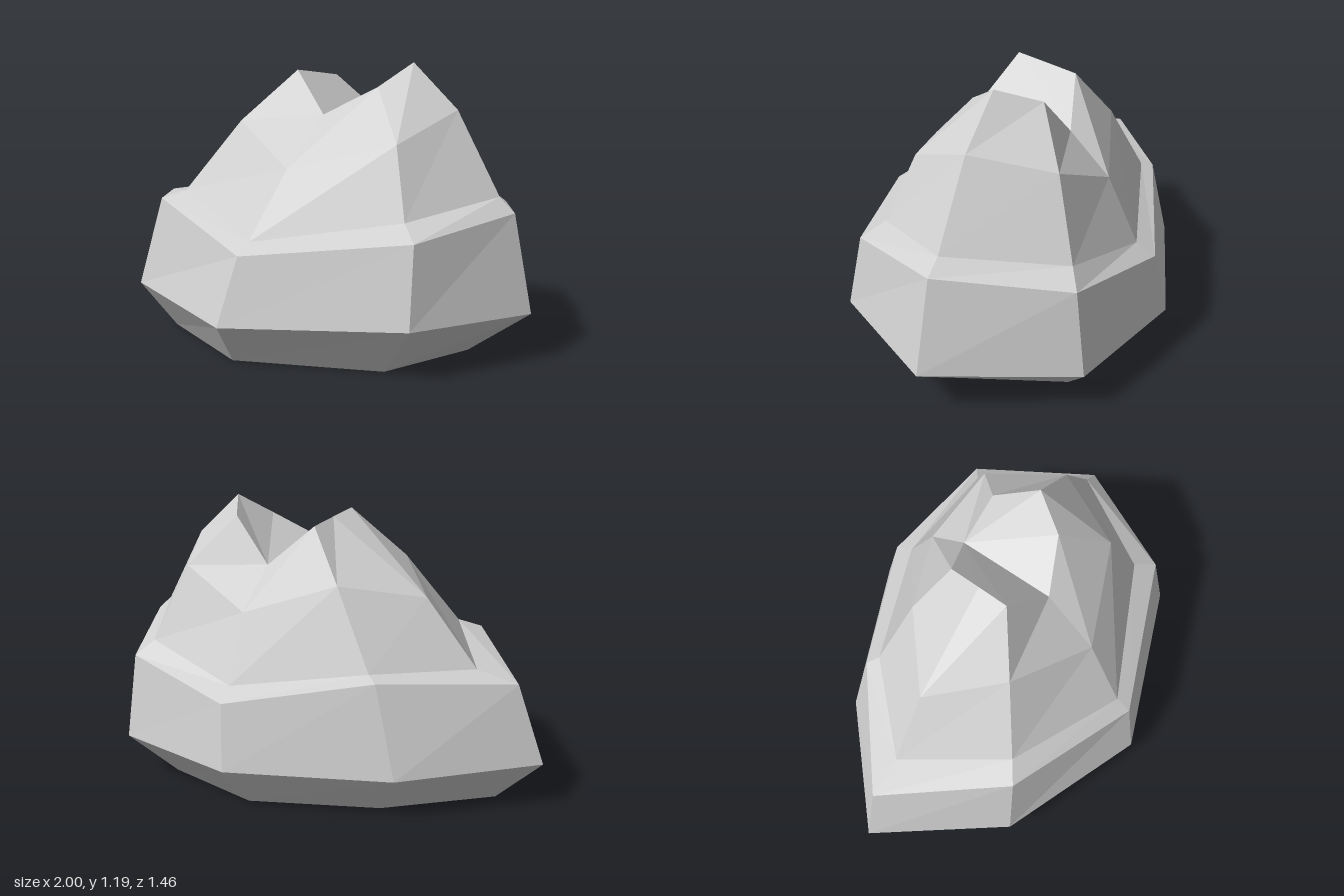
import * as THREE from 'three';

// Eight-sided cross-sections from the ground up, each point [x, y, z],
// running from the -x tip round the front to the back.
const rings = [
  // ground outline
  [[-0.8, 0, 0], [-0.5, 0, 0.38], [0.02, 0, 0.6], [0.59, 0, 0.35],
    [0.73, 0, -0.08], [0.51, 0, -0.5], [0.06, 0, -0.58], [-0.44, 0, -0.35]],
  // widest belt
  [[-1, 0.195, 0], [-0.6, 0.205, 0.5], [0.05, 0.175, 0.73], [0.75, 0.21, 0.43],
    [1, 0.2, -0.1], [0.655, 0.185, -0.645], [0.08, 0.185, -0.73], [-0.55, 0.18, -0.44]],
  // outer shoulder
  [[-0.885, 0.525, -0.02], [-0.51, 0.59, 0.445], [0.095, 0.455, 0.65], [0.725, 0.535, 0.365],
    [0.91, 0.6, -0.11], [0.635, 0.545, -0.595], [0.115, 0.455, -0.68], [-0.44, 0.56, -0.405]],
  // inner shoulder
  [[-0.705, 0.56, -0.03], [-0.425, 0.625, 0.38], [0.095, 0.5, 0.58], [0.64, 0.595, 0.295],
    [0.84, 0.66, -0.11], [0.57, 0.61, -0.54], [0.13, 0.505, -0.6], [-0.39, 0.58, -0.37]],
  // upper slopes
  [[-0.48, 0.835, -0.05], [-0.235, 0.93, 0.225], [0.137, 0.77, 0.387], [0.54, 0.88, 0.2],
    [0.64, 1.0, -0.11], [0.47, 0.927, -0.42], [0.147, 0.78, -0.47], [-0.2, 0.9, -0.3]],
  // twin crests with a gully between them
  [[-0.04, 1.13, -0.07], [-0.045, 1.147, 0.07], [0.147, 0.972, 0.147], [0.35, 1.09, 0.045],
    [0.43, 1.187, -0.105], [0.32, 1.13, -0.265], [0.147, 0.943, -0.29], [-0.035, 1.112, -0.21]],
];

function meshFrom(name, triangles, material) {
  const geometry = new THREE.BufferGeometry();
  geometry.setAttribute('position', new THREE.Float32BufferAttribute(triangles.flat(2), 3));
  geometry.computeVertexNormals();
  const mesh = new THREE.Mesh(geometry, material);
  mesh.name = name;
  return mesh;
}

// Band of facets joining two neighbouring cross-sections
function band(low, high) {
  return low.flatMap((a, i) => {
    const j = (i + 1) % low.length;
    return [[a, low[j], high[j]], [a, high[j], high[i]]];
  });
}

export function createModel() {
  const stone = new THREE.MeshStandardMaterial({ color: 0xd0d0d0, flatShading: true });
  stone.name = 'pale grey stone';

  const rock = new THREE.Group();
  rock.name = 'rock';

  const names = ['undercut', 'lowerWall', 'ledge', 'slopes', 'crags'];
  names.forEach((name, k) => rock.add(meshFrom(name, band(rings[k], rings[k + 1]), stone)));

  // Gully floor: two sides meeting along the line between points 2 and 6
  const crest = rings[5];
  const gully = [[0, 1, 6], [0, 6, 7], [1, 2, 6], [2, 3, 6], [3, 4, 6], [4, 5, 6]];
  rock.add(meshFrom('gully', gully.map((t) => t.map((i) => crest[i])), stone));

  // Flat underside
  const ground = rings[0];
  const underside = [];
  for (let i = 1; i < 7; i++) underside.push([ground[0], ground[i + 1], ground[i]]);
  rock.add(meshFrom('underside', underside, stone));

  return rock;
}
